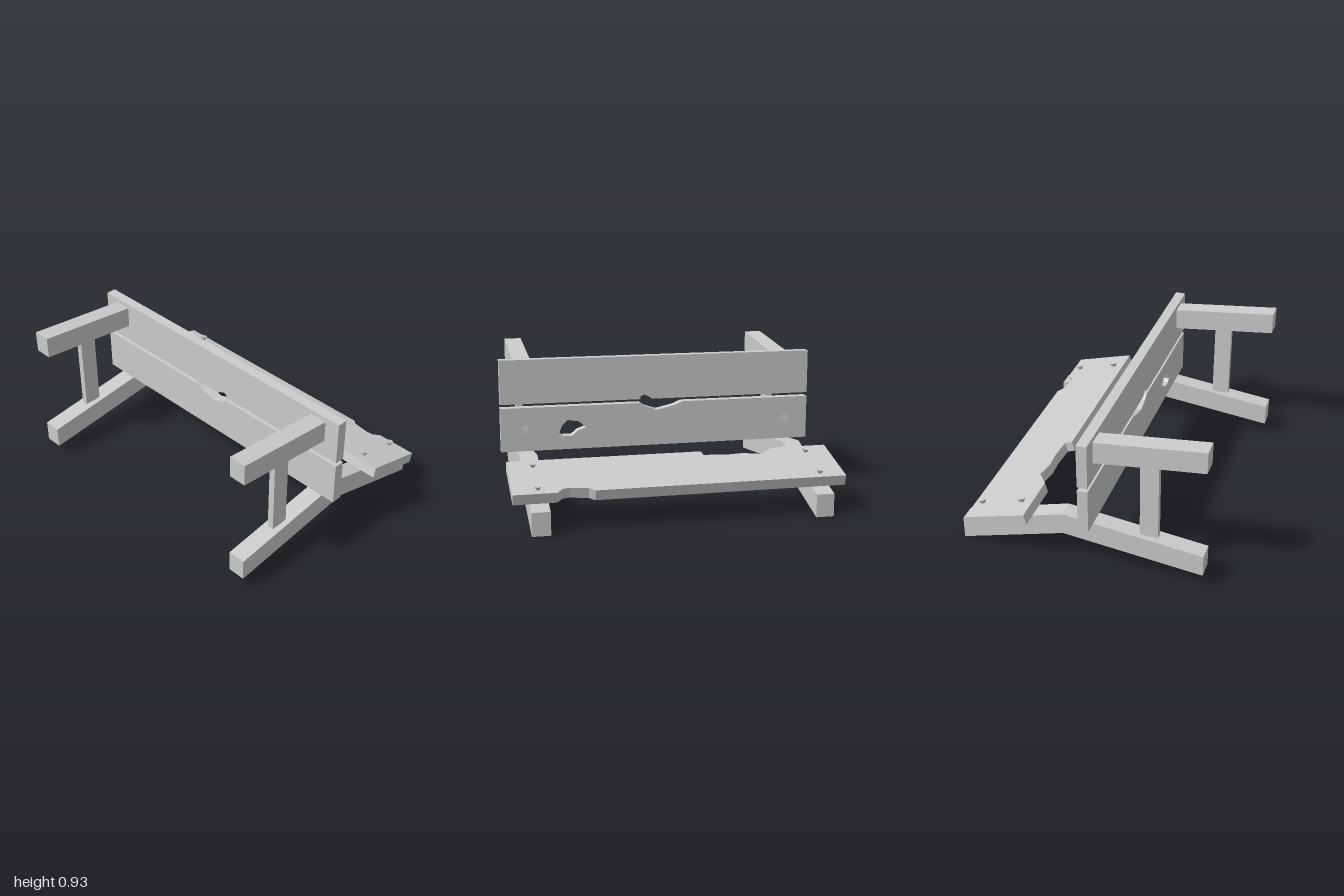
import * as THREE from 'three';

const material = new THREE.MeshStandardMaterial({ color: 0xcccccc, flatShading: true });

function makeMesh(name, geometry, parent) {
  const mesh = new THREE.Mesh(geometry, material);
  mesh.name = name;
  parent.add(mesh);
  return mesh;
}

const toPoints = (list) => list.map(([x, y]) => new THREE.Vector2(x, y));

// Plank outline in x and y, extruded by its thickness
function plank(outline, depth, hole) {
  const shape = new THREE.Shape(toPoints(outline));
  if (hole) shape.holes.push(new THREE.Path(toPoints(hole)));
  return new THREE.ExtrudeGeometry(shape, { depth, bevelEnabled: false });
}

// Beam with a side profile in z and y, extruded across x and centred on it
function beam(profile, width) {
  return plank(profile, width).rotateY(-Math.PI / 2).translate(width / 2, 0, 0);
}

// Oval bolt head, narrower where it meets the wood, standing on y = 0
function boltHead(height, rBase) {
  return new THREE.CylinderGeometry(0.027, rBase, height, 14)
    .translate(0, height / 2, 0)
    .scale(0.78, 1, 1);
}

export function createModel() {
  const model = new THREE.Group();
  model.name = 'brokenBench';

  // Side frames: bent leg, post and arm
  const legProfile = [
    [0.75, 0.08], [0.75, 0.215], [-0.1, 0.32],
    [-0.745, 0.14], [-0.745, 0], [-0.1, 0.182],
  ];
  const armProfile = [[0.75, 0.79], [0.75, 0.925], [0.095, 0.858], [0.095, 0.722]];
  const postProfile = [[0.36, 0.258], [0.47, 0.258], [0.47, 0.762], [0.36, 0.752]];
  for (const [side, x] of [['left', 0.848], ['right', -0.848]]) {
    const frame = new THREE.Group();
    frame.name = side + 'Frame';
    frame.position.x = x;
    makeMesh('bentLeg', beam(legProfile, 0.11), frame);
    makeMesh('arm', beam(armProfile, 0.11), frame);
    makeMesh('post', beam(postProfile, 0.04), frame);
    model.add(frame);
  }

  // Backrest planks with splintered edges and a hole
  const upper = plank([
    [-1, 0.61], [0.04, 0.61], [0.055, 0.623], [0.09, 0.64], [0.112, 0.627],
    [0.115, 0.61], [1, 0.61], [1, 0.887], [-1, 0.887],
  ], 0.063);
  makeMesh('upperBackPlank', upper, model).position.z = 0.032;
  const lower = plank([
    [-1, 0.31], [1, 0.31], [1, 0.585], [0.115, 0.585], [0.08, 0.562],
    [0.005, 0.537], [-0.11, 0.563], [-0.16, 0.585], [-1, 0.585],
  ], 0.063, [
    [0.465, 0.445], [0.51, 0.485], [0.58, 0.497], [0.617, 0.463],
    [0.637, 0.412], [0.615, 0.396], [0.555, 0.394], [0.515, 0.427],
  ]);
  makeMesh('lowerBackPlank', lower, model).position.z = 0.032;

  // Bolts on the rear of the backrest
  for (const [y, tilt] of [[0.75, 0], [0.45, 0.1]]) {
    for (const x of [-0.85, 0.85]) {
      const bolt = makeMesh('backBolt', boltHead(0.012, 0.023), model);
      bolt.position.set(x, y, 0.033);
      bolt.rotation.x = -Math.PI / 2 + tilt;
    }
  }

  // Sloping seat plank with bites out of both long edges
  const seat = new THREE.Group();
  seat.name = 'seat';
  seat.position.set(0, 0.27, -0.287);
  seat.rotation.x = -(Math.PI / 2 + 0.262);
  const width = 0.392;
  makeMesh('seatPlank', plank([
    [-1, 0], [-0.66, 0], [-0.56, 0.073], [-0.45, 0.05], [-0.35, 0.058],
    [-0.2, 0.046], [-0.195, 0], [1, 0], [1, width], [0.745, width],
    [0.71, 0.353], [0.67, 0.345], [0.56, 0.363], [0.525, width], [-1, width],
  ], 0.065), seat);
  for (const x of [-0.85, 0.85]) {
    for (const v of [0.073, 0.338]) {
      const bolt = makeMesh('seatBolt', boltHead(0.025, 0.015), seat);
      bolt.position.set(x, v, 0.064);
      bolt.rotation.x = Math.PI / 2;
    }
  }
  model.add(seat);

  return model;
}
